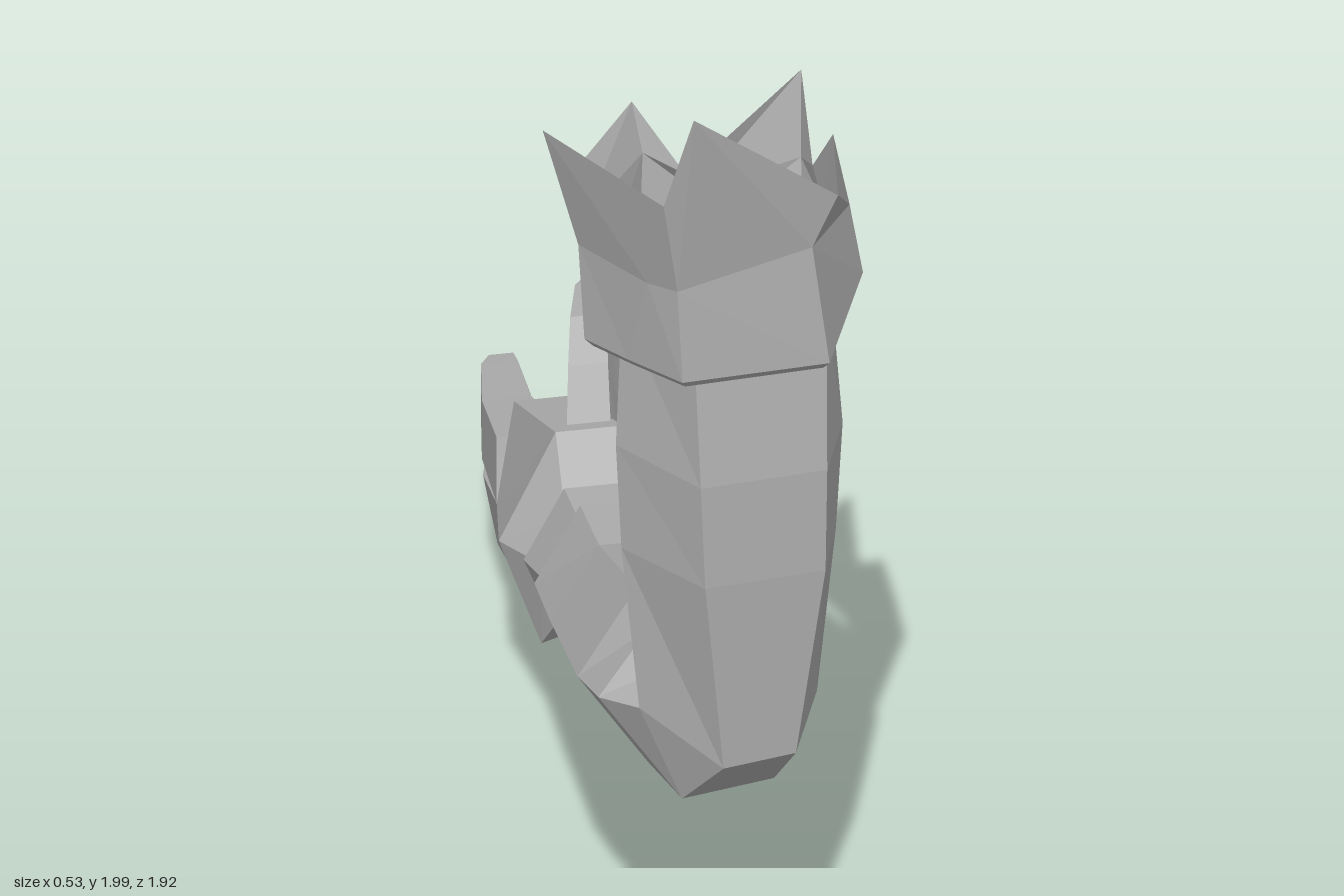
import * as THREE from 'three';

const grey = new THREE.MeshStandardMaterial({ color: 0xb4b4b4, flatShading: true, side: THREE.DoubleSide });
grey.name = 'plain grey';

// Faceted skin over a list of rings, wound outwards, with an optional cap on the last ring.
function loft(name, rings, capped = false) {
  const walls = [], startCap = [], endCap = [];
  const centre = ring => ring[0].map((_, k) => ring.reduce((s, p) => s + p[k], 0) / ring.length);
  const n = rings[0].length, last = rings.length - 1;
  const start = centre(rings[0]), end = centre(rings[last]);
  for (let j = 0; j < n; j++) {
    const k = (j + 1) % n;
    for (let i = 0; i < last; i++) {
      const r = rings[i], s = rings[i + 1];
      walls.push([r[j], r[k], s[k]], [r[j], s[k], s[j]]);
    }
    startCap.push([start, rings[0][k], rings[0][j]]);
    endCap.push([end, rings[last][j], rings[last][k]]);
  }
  const v = p => new THREE.Vector3(...p);
  const volume = [...walls, ...startCap, ...endCap]
    .reduce((sum, [a, b, c]) => sum + v(a).dot(v(b).cross(v(c))), 0);
  const tris = capped ? [...walls, ...endCap] : walls;
  if (volume < 0) tris.forEach(t => t.reverse());
  const geometry = new THREE.BufferGeometry();
  geometry.setAttribute('position', new THREE.Float32BufferAttribute(tris.flat(2), 3));
  geometry.computeVertexNormals();
  const mesh = new THREE.Mesh(geometry, grey);
  mesh.name = name;
  return mesh;
}

// Six-sided ring: x of each corner, then [z, y] of the outer pair, the side ridges and the inner pair.
// tilt moves the second outer corner in [z, y].
const hex = (xs, outer, side, inner, tilt = [0, .022]) =>
  [outer, [outer[0] + tilt[0], outer[1] + tilt[1]], side, inner, inner, side].map(([z, y], i) => [xs[i], y, z]);
const level = (y, xs, z0, z1, z2) => hex(xs, [z0, y], [z1, y], [z2, y], [-.02, 0]);

// Four-sided ring for fingers; the top edge is narrower by slant on the left side.
const quad = (z, y0, y1, x0, x1, slant = .025) =>
  [[x0, y0, z], [x1, y0, z], [x1 - slant, y1, z], [x0, y1, z]];

// Ring from rows of [z, y, x0, x1], up one side and back down the other.
const rows = list => [
  ...list.map(([z, y, x0]) => [x0, y, z]),
  ...[...list].reverse().map(([z, y, , x1]) => [x1, y, z]),
];

export function createModel() {
  const model = new THREE.Group();
  model.name = 'armouredArm';

  // Hollow upper arm, open at the shoulder, down to the mitred elbow
  const elbow = hex([.02, .14, .19, .13, -.04, -.10], [.735, .62], [.64, .69], [.585, .73], [-.01, .01]);
  model.add(loft('upperArm', [
    level(1.465, [-.04, .18, .21, .15, -.06, -.13], .80, .65, .52),
    level(1.2, [-.03, .18, .23, .15, -.06, -.14], .805, .65, .51),
    level(1.0, [-.02, .18, .22, .15, -.05, -.13], .79, .645, .52),
    elbow,
  ]));

  // Forearm
  const forearmEnd = hex([-.08, .03, .10, .07, -.06, -.14], [-.03, .345], [-.07, .49], [-.10, .61]);
  model.add(loft('forearm', [
    elbow,
    hex([-.03, .12, .20, .14, -.06, -.15], [.64, .51], [.55, .66], [.50, .748]),
    hex([-.06, .10, .19, .13, -.06, -.16], [.51, .50], [.42, .62], [.40, .765]),
    hex([-.07, .06, .14, .10, -.06, -.15], [.20, .405], [.12, .54], [.07, .64]),
    forearmEnd,
  ]));

  // Wrist cuff, stepped in from the forearm and in again to the hand
  const wrist = hex([-.07, .01, .04, .03, -.06, -.10], [-.20, .34], [-.215, .43], [-.23, .51]);
  model.add(loft('wristCuff', [
    forearmEnd,
    hex([-.08, .02, .065, .04, -.06, -.12], [-.06, .36], [-.09, .48], [-.12, .575]),
    hex([-.08, .02, .07, .04, -.06, -.13], [-.195, .32], [-.22, .44], [-.24, .555]),
    wrist,
  ]));

  // Palm, ending in the web between thumb and forefinger
  model.add(loft('palm', [
    wrist,
    hex([-.09, -.02, .085, .06, -.05, -.15], [-.28, .24], [-.33, .41], [-.37, .58]),
    hex([-.04, 0, .025, .02, -.08, -.11], [-.575, .085], [-.565, .33], [-.575, .515], [0, .005]),
  ], true));

  // Thumb, forefinger and the joined outer fingers
  model.add(loft('thumb', [
    quad(-.33, .45, .55, -.04, .06),
    quad(-.53, .49, .60, 0, .09),
    quad(-.62, .53, .635, .02, .105),
    quad(-.74, .53, .618, .05, .148, .02),
    quad(-.78, .54, .61, .075, .135, .01),
  ], true));
  model.add(loft('forefinger', [
    quad(-.565, .33, .455, -.11, .025),
    quad(-.75, .30, .41, -.10, .015, .035),
    quad(-.92, .27, .37, -.07, .0, .01),
    quad(-.96, .275, .36, -.05, -.005, .005),
  ], true));
  model.add(loft('joinedFingers', [
    rows([[-.565, .33, -.11, .025], [-.57, .2075, -.075, .0125], [-.575, .085, -.04, 0]]),
    rows([[-.74, .275, -.10, 0], [-.72, .155, -.08, 0], [-.64, .045, -.02, .01]]),
    rows([[-.92, .21, -.06, -.02], [-.85, .10, -.04, -.01], [-.71, .01, 0, .02]]),
  ], true));

  // Thin flared shoulder collar with a spiked, notched rim, and a lip closing onto the arm
  const hem = [[-.07, 1.44, .86], [.17, 1.45, .86], [.265, 1.475, .64], [.24, 1.485, .54], [.20, 1.495, .46],
    [.04, 1.475, .47], [-.07, 1.46, .48], [-.18, 1.425, .62], [-.195, 1.42, .67], [-.14, 1.43, .76]];
  const waist = [[-.08, 1.62, .87], [.14, 1.68, .87], [.245, 1.60, .63], [.22, 1.54, .52], [.20, 1.58, .445],
    [.02, 1.56, .485], [-.065, 1.64, .48], [-.185, 1.62, .62], [-.205, 1.60, .67], [-.12, 1.61, .82]];
  const rim = [[-.07, 2.0, .96], [.18, 1.78, .88], [.22, 1.73, .62], [.205, 1.61, .52], [.205, 1.73, .42],
    [0, 1.61, .51], [-.08, 1.73, .465], [-.21, 1.69, .61], [-.265, 1.83, .68], [-.11, 1.81, .91]];
  const inset = (k, dy) => hem.map(([x, y, z]) => [.04 + (x - .04) * k, y + dy, .66 + (z - .66) * k]);
  model.add(loft('shoulderCollar', [rim, waist, hem, inset(.94, -.015), inset(.66, .01)]));

  return model;
}
